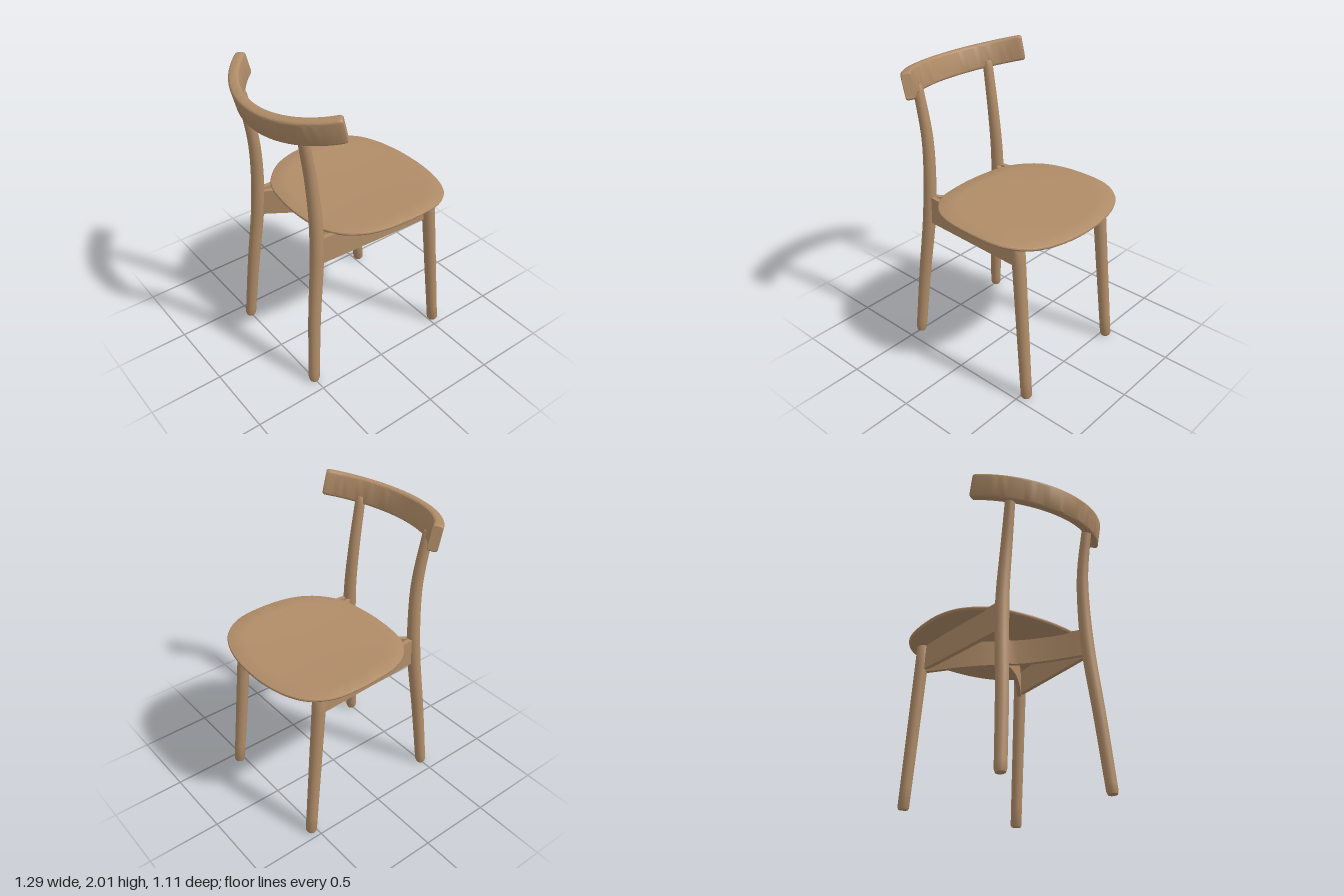
import * as THREE from 'three';
import { toCreasedNormals } from 'three/addons/utils/BufferGeometryUtils.js';

const V = (x, y, z) => new THREE.Vector3(x, y, z);

// Skin closed rings of points, capped at both ends, wound outwards
function loft(rings) {
  const n = rings[0].length, tris = [];
  for (let i = 0; i < rings.length - 1; i++) {
    const a = rings[i], b = rings[i + 1];
    for (let j = 0; j < n; j++) {
      const k = (j + 1) % n;
      tris.push([a[j], a[k], b[k]], [a[j], b[k], b[j]]);
    }
  }
  const cap = (r, flip) => {
    const c = r.reduce((s, p) => s.add(p), V(0, 0, 0)).divideScalar(n);
    for (let j = 0; j < n; j++) {
      const p = r[j], q = r[(j + 1) % n];
      tris.push(flip ? [c, q, p] : [c, p, q]);
    }
  };
  cap(rings[0], true);
  cap(rings[rings.length - 1], false);
  let volume = 0;
  for (const [a, b, c] of tris) volume += a.dot(b.clone().cross(c));
  const pos = [];
  for (const [a, b, c] of tris) {
    for (const p of volume < 0 ? [a, c, b] : [a, b, c]) pos.push(p.x, p.y, p.z);
  }
  const g = new THREE.BufferGeometry();
  g.setAttribute('position', new THREE.Float32BufferAttribute(pos, 3));
  return toCreasedNormals(g, 0.6);
}

// Sweep a cross-section along a curve; its second axis follows "up"
function sweep(curve, up, steps, section, ease = 0.012, endScale = 0.82) {
  const ts = [0, ease];
  for (let i = 1; i < steps; i++) ts.push(i / steps);
  ts.push(1 - ease, 1);
  return loft(ts.map((t) => {
    const p = curve.getPointAt(t);
    const side = up.clone().cross(curve.getTangentAt(t)).normalize();
    const s = t === 0 || t === 1 ? endScale : 1;
    return section(t).map(([a, b]) => p.clone().addScaledVector(side, a * s).addScaledVector(up, b * s));
  }));
}

const circle = (r) => Array.from({ length: 20 }, (_, i) => {
  const a = (i / 20) * Math.PI * 2;
  return [r * Math.cos(a), r * Math.sin(a)];
});

// Rectangle with rounded corners
function roundRect(w, h, r) {
  const pts = [];
  [[1, 1], [-1, 1], [-1, -1], [1, -1]].forEach(([sx, sy], q) => {
    for (let i = 0; i <= 4; i++) {
      const a = (q + i / 4) * Math.PI / 2;
      pts.push([sx * (w / 2 - r) + r * Math.cos(a), sy * (h / 2 - r) + r * Math.sin(a)]);
    }
  });
  return pts;
}

// Seat outline: one half as a spline, mirrored
function seatOutline() {
  const half = [[-0.365, 0], [-0.355, 0.15], [-0.325, 0.297], [-0.26, 0.40], [-0.157, 0.485], [-0.017, 0.535],
    [0.21, 0.553], [0.40, 0.53], [0.525, 0.45], [0.597, 0.33], [0.64, 0.157], [0.65, 0]];
  const back = half.slice(1, -1).reverse().map(([x, z]) => [x, -z]);
  const pts = [...half, ...back].map(([x, z]) => V(x, 0, z));
  return new THREE.CatmullRomCurve3(pts, true).getPoints(88).slice(0, -1);
}

function seatGeometry() {
  const outline = seatOutline(), cx = 0.14;
  // Slight saddle: the sides rise above the middle, front and back
  const height = (x, z) => 1.118 + 0.022 * (z / 0.55) ** 2 - 0.012 * ((x - 0.2) / 0.5) ** 2 * (z / 0.55) ** 2
    - 0.005 * ((x - cx) / 0.5) ** 2;
  const ring = (s, drop) => outline.map((p) => {
    const x = cx + (p.x - cx) * s, z = p.z * s;
    return V(x, height(x, z) - drop, z);
  });
  return loft([
    ring(0.02, 0.028), ring(0.5, 0.028), ring(0.94, 0.028), ring(0.985, 0.024), ring(0.998, 0.016),
    ring(1, 0.011), ring(0.995, 0.004), ring(0.983, 0), ring(0.8, 0), ring(0.55, 0), ring(0.28, 0), ring(0.02, 0),
  ]);
}

export function createModel() {
  const group = new THREE.Group();
  const wood = new THREE.MeshStandardMaterial({ color: 0xb08c68 });
  wood.name = 'wood';
  const add = (name, geometry) => {
    const m = new THREE.Mesh(geometry, wood);
    m.name = name;
    group.add(m);
  };
  const up = V(0, 1, 0), across = V(0, 0, 1);

  add('seat', seatGeometry());

  for (const s of [1, -1]) {
    const label = s > 0 ? 'Left' : 'Right';
    // Straight splayed front legs
    const front = new THREE.LineCurve3(V(0.535, 0, 0.437 * s), V(0.425, 1.108, 0.405 * s));
    add('frontLeg' + label, sweep(front, across, 8, (t) => circle(0.037 + 0.007 * t)));

    // Bent back legs running up to the backrest
    const rear = new THREE.CatmullRomCurve3([
      V(-0.503, 0, 0.4 * s), V(-0.464, 0.5, 0.365 * s), V(-0.418, 0.95, 0.337 * s), V(-0.41, 1.2, 0.324 * s),
      V(-0.427, 1.5, 0.31 * s), V(-0.485, 1.85, 0.318 * s),
    ]);
    add('backLeg' + label, sweep(rear, across, 28, (t) => circle(t < 0.55 ? 0.037 + 0.014 * t : 0.0447 - 0.026 * (t - 0.55))));

    // Side rails between the legs, slightly shallower at the front
    const side = new THREE.LineCurve3(V(-0.41, 0, 0.336 * s), V(0.425, 0, 0.396 * s));
    add('sideRail' + label, sweep(side, up, 10, (t) => {
      const bottom = 0.912 + 0.022 * t, top = 1.104;
      return [[0.015, bottom], [0.015, top], [-0.015, top], [-0.015, bottom]];
    }, 0.01, 1));
  }

  // Curved cross rails under the seat, bowing towards each other
  for (const [name, x, zEnd, xMid] of [['frontCrossRail', 0.42, 0.39, 0.03], ['backCrossRail', -0.41, 0.325, -0.01]]) {
    const bow = new THREE.CatmullRomCurve3([1, 0.55, 0.22, 0, -0.22, -0.55, -1].map((k) =>
      V(xMid + (x - xMid) * Math.abs(k) ** 1.35, 0, zEnd * k)));
    add(name, sweep(bow, up, 28, () => [[0.014, 0.918], [0.014, 1.1], [-0.014, 1.1], [-0.014, 0.918]], 0.01, 1));
  }

  // Curved backrest lying on a tilted plane, so its ends rise
  const lean = V(-0.26, 1, 0).normalize();
  const R = 0.645, sweepAngle = 0.925, arc = [];
  for (let i = 0; i <= 16; i++) {
    const a = -sweepAngle + (2 * sweepAngle * i) / 16;
    const dx = R * (1 - Math.cos(a));
    arc.push(V(-0.594 + dx, 1.857 + 0.26 * dx, R * Math.sin(a)));
  }
  add('backrest', sweep(new THREE.CatmullRomCurve3(arc), lean, 40, () => roundRect(0.066, 0.165, 0.018), 0.01, 0.9));

  return group;
}
